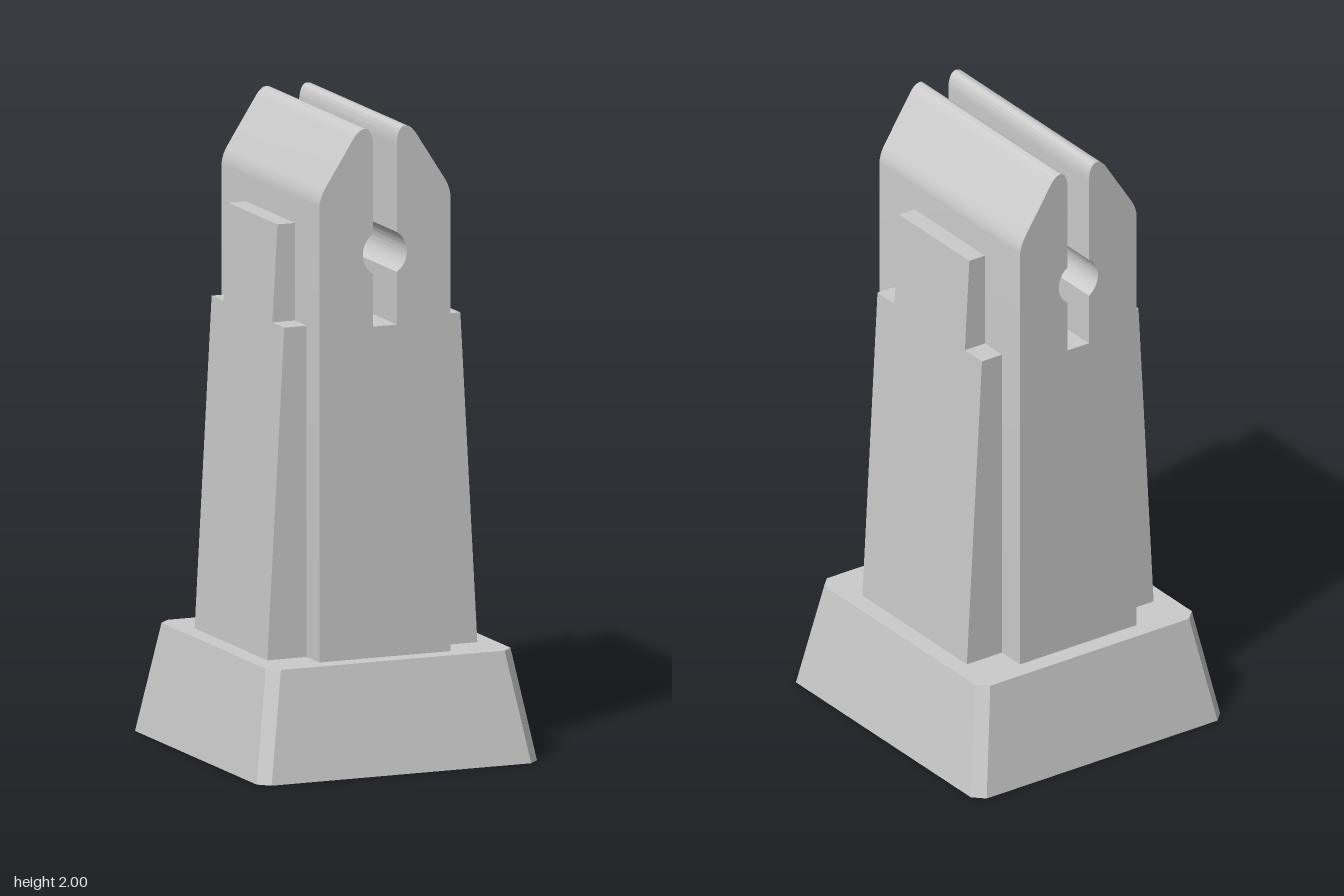
import * as THREE from 'three';
import { toCreasedNormals } from 'three/addons/utils/BufferGeometryUtils.js';

const material = new THREE.MeshStandardMaterial({ color: 0xcccccc });
const BASE_TOP = 0.345;

function part(name, geometry) {
  const mesh = new THREE.Mesh(geometry, material);
  mesh.name = name;
  return mesh;
}

// Rectangle with cut corners, in the xy plane
function chamferedRect(hx, hy, c) {
  const pts = [
    [hx, -hy + c], [hx, hy - c], [hx - c, hy], [-hx + c, hy],
    [-hx, hy - c], [-hx, -hy + c], [-hx + c, -hy], [hx - c, -hy],
  ];
  return new THREE.Shape(pts.map(([x, y]) => new THREE.Vector2(x, y)));
}

// Plinth: extruded upwards, then its upper ring is drawn inwards
function baseGeometry() {
  const c = 0.035, low = [0.47, 0.495], high = [0.41, 0.43];
  const geo = new THREE.ExtrudeGeometry(chamferedRect(...low, c), { depth: BASE_TOP, bevelEnabled: false });
  geo.rotateX(-Math.PI / 2);
  const p = geo.attributes.position;
  for (let i = 0; i < p.count; i++) {
    if (p.getY(i) < BASE_TOP / 2) continue;
    p.setX(i, p.getX(i) - Math.sign(p.getX(i)) * (low[0] - high[0]));
    p.setZ(i, p.getZ(i) - Math.sign(p.getZ(i)) * (low[1] - high[1]));
  }
  return toCreasedNormals(geo, 0.3);
}

// Post: half profile with rounded prong and slot, mirrored across x = 0
function postGeometry() {
  const r = 0.074, cy = 1.607, slot = 0.04;
  const a = Math.acos(slot / r);
  const half = new THREE.Path();
  half.moveTo(0.22, BASE_TOP);
  half.lineTo(0.22, 1.765);
  half.quadraticCurveTo(0.219, 1.795, 0.2, 1.825);
  half.lineTo(0.108, 1.968);
  half.bezierCurveTo(0.096, 1.987, 0.085, 2, 0.067, 2);
  half.bezierCurveTo(0.05, 2, slot, 1.975, slot, 1.94);
  half.lineTo(slot, cy + r * Math.sin(a));
  half.absarc(0, cy, r, a, -a, true);
  half.lineTo(slot, 1.38);
  const right = half.getPoints(12);
  const left = right.map((v) => new THREE.Vector2(-v.x, v.y)).reverse();
  const geo = new THREE.ExtrudeGeometry(new THREE.Shape([...right, ...left]), { depth: 0.74, bevelEnabled: false });
  geo.translate(0, 0, -0.37);
  return toCreasedNormals(geo, 0.45);
}

// Stepped side rib: inner face on the post, outer face leaning inwards
function ribGeometry() {
  const pts = [
    [-0.275, BASE_TOP], [0.275, BASE_TOP], [0.275, 1.38], [0.185, 1.38],
    [0.185, 1.685], [-0.185, 1.685], [-0.185, 1.38], [-0.275, 1.38],
  ];
  const shape = new THREE.Shape(pts.map(([x, y]) => new THREE.Vector2(x, y)));
  const geo = new THREE.ExtrudeGeometry(shape, { depth: 1, bevelEnabled: false });
  geo.rotateY(Math.PI / 2);
  const p = geo.attributes.position;
  for (let i = 0; i < p.count; i++) {
    const outer = 0.352 - 0.055 * (p.getY(i) - BASE_TOP);
    p.setX(i, p.getX(i) > 0.5 ? outer : 0.22);
  }
  geo.computeVertexNormals();
  return geo;
}

export function createModel() {
  const group = new THREE.Group();
  group.name = 'slottedPost';
  group.add(part('base', baseGeometry()), part('post', postGeometry()));

  const leftRib = part('leftRib', ribGeometry());
  const rightRib = part('rightRib', leftRib.geometry);
  rightRib.rotation.y = Math.PI;
  group.add(leftRib, rightRib);
  return group;
}
